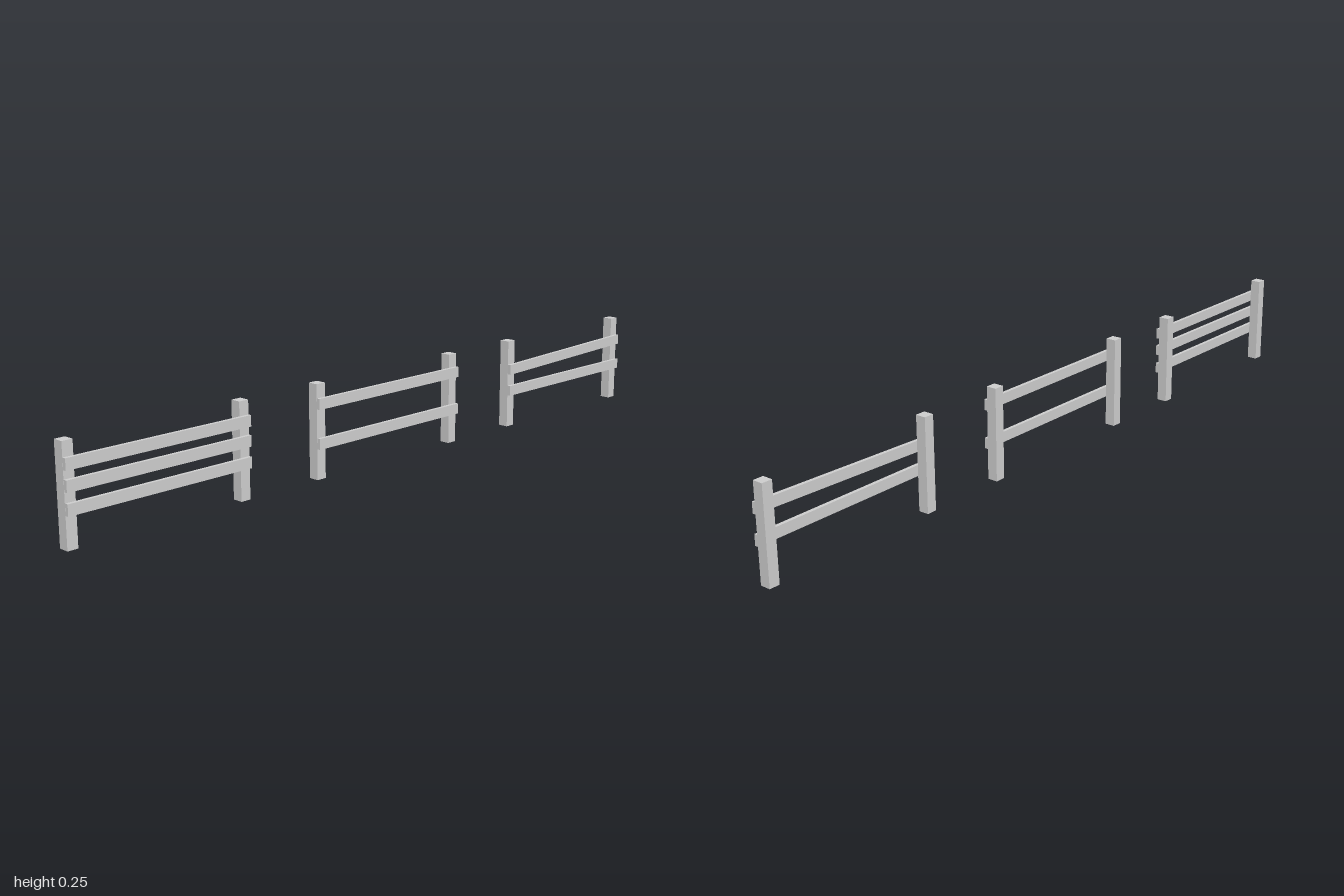
import * as THREE from 'three';

const POST = { w: 0.028, h: 0.246, d: 0.028, z: -0.0045 };
const RAIL = { w: 0.517, h: 0.028, d: 0.0095, z: 0.0143 };

const material = new THREE.MeshStandardMaterial({ color: 0xcccccc, flatShading: true });

function addBox(parent, name, size, position, tilt = 0) {
  const mesh = new THREE.Mesh(new THREE.BoxGeometry(...size), material);
  mesh.name = name;
  mesh.position.set(...position);
  mesh.rotation.z = tilt;
  parent.add(mesh);
}

// One fence section: two square posts with rails on their front faces
function createFence(name, x, rails) {
  const fence = new THREE.Group();
  fence.name = name;
  fence.position.x = x;
  for (const side of [-1, 1]) {
    addBox(fence, side < 0 ? 'rightPost' : 'leftPost',
      [POST.w, POST.h, POST.d], [side * 0.245, POST.h / 2, POST.z]);
  }
  rails.forEach(({ y, tilt = 0 }, i) =>
    addBox(fence, `rail${i + 1}`, [RAIL.w, RAIL.h, RAIL.d], [0, y, RAIL.z], tilt));
  return fence;
}

export function createModel() {
  const model = new THREE.Group();
  model.name = 'fences';
  model.add(
    createFence('threeRailFence', -0.741, [{ y: 0.094 }, { y: 0.147 }, { y: 0.196 }]),
    createFence('twoRailFence', -0.002, [{ y: 0.094 }, { y: 0.196 }]),
    // The upper rail of the last fence has slipped at one end
    createFence('crookedFence', 0.738, [{ y: 0.105 }, { y: 0.173, tilt: 0.029 }]),
  );
  return model;
}
